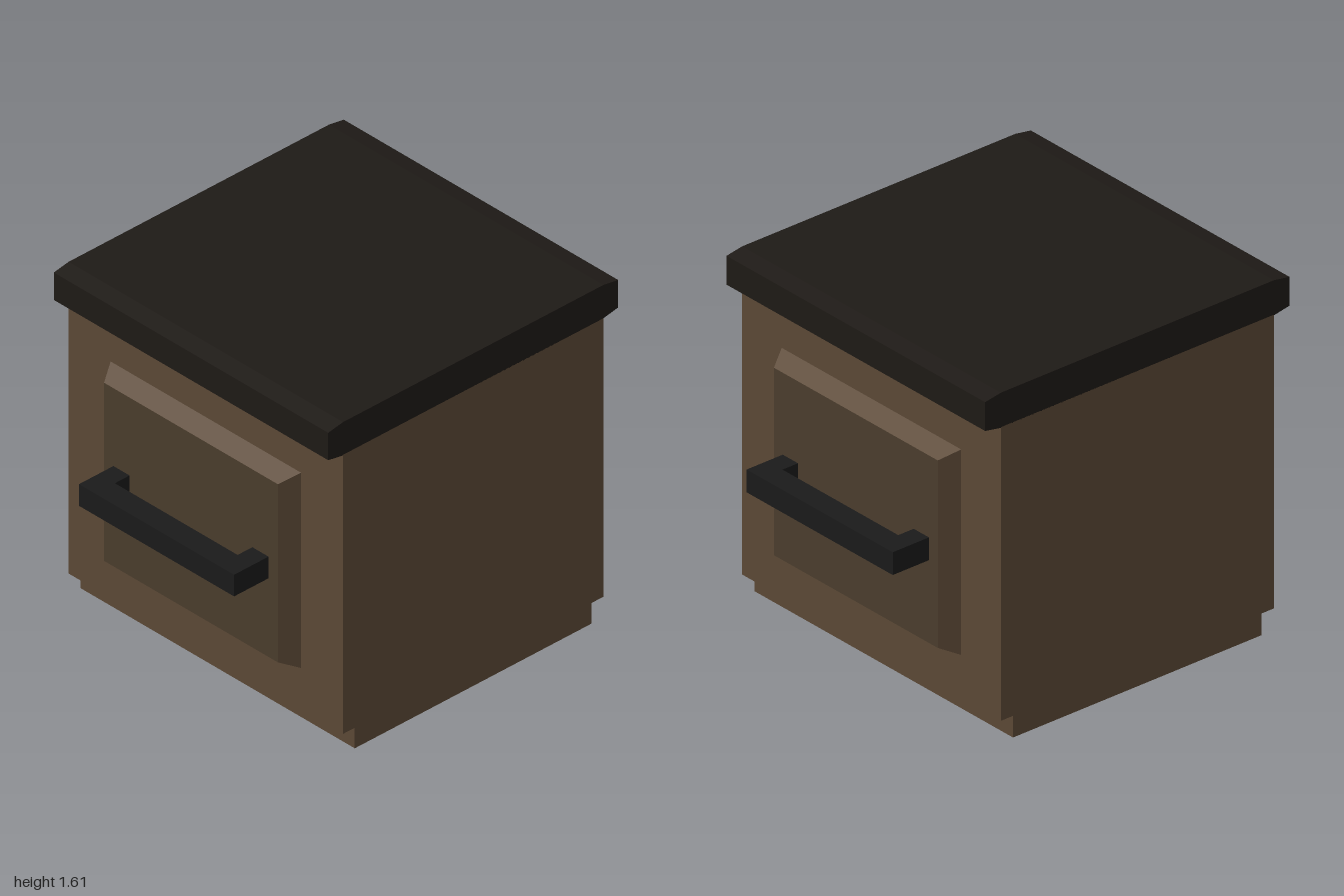
import * as THREE from 'three';

const paint = (color) => new THREE.MeshStandardMaterial({ color });

// Closed outline, extruded and centred along its depth
function extrude(points, depth) {
  const shape = new THREE.Shape(points.map(([a, b]) => new THREE.Vector2(a, b)));
  return new THREE.ExtrudeGeometry(shape, { depth, bevelEnabled: false }).translate(0, 0, -depth / 2);
}

// Half outline (z, y) mirrored in z and extruded across the full width
function acrossWidth(half, width) {
  const mirrored = half.map(([z, y]) => [-z, y]).reverse();
  return extrude([...half, ...mirrored], width).rotateY(Math.PI / 2);
}

// Box whose front face is inset to give sloping borders
function raisedPanel(w, h, d, inset) {
  const geo = new THREE.BoxGeometry(w, h, d);
  const p = geo.attributes.position;
  for (let i = 0; i < p.count; i++) {
    if (p.getZ(i) > 0) {
      p.setX(i, p.getX(i) - Math.sign(p.getX(i)) * inset);
      p.setY(i, p.getY(i) - Math.sign(p.getY(i)) * inset * 0.85);
    }
  }
  geo.computeVertexNormals();
  return geo;
}

export function createModel() {
  const model = new THREE.Group();
  const wood = paint(0x5c4936);
  const panelWood = paint(0x4b3d2d);
  const topMat = paint(0x1e1a16);
  const handleMat = paint(0x1a1a1a);
  const WIDTH = 1.61;

  const add = (parent, name, geo, mat) => {
    const mesh = new THREE.Mesh(geo, mat);
    mesh.name = name;
    parent.add(mesh);
    return mesh;
  };

  // Cabinet with the toe recess at front and back
  add(model, 'cabinet', acrossWidth(
    [[0.66, 0], [0.66, 0.1], [0.725, 0.1], [0.725, 1.455]], WIDTH), wood);

  // Worktop with tapered overhangs
  add(model, 'worktop', acrossWidth(
    [[0.725, 1.452], [0.808, 1.467], [0.808, 1.6], [0.725, 1.614]], WIDTH), topMat);

  // Identical panel and handle on front and back
  for (const side of ['front', 'back']) {
    const face = new THREE.Group();
    face.name = side + 'Face';

    const panel = add(face, side + 'Panel', raisedPanel(1.12, 0.95, 0.085, 0.05),
      [wood, wood, wood, wood, panelWood, wood]);
    panel.position.set(0, 0.775, 0.7655);

    // U-shaped pull, outlined in plan and extruded upwards
    const pull = extrude([
      [-0.455, 0.8], [-0.36, 0.8], [-0.36, 0.89], [0.36, 0.89],
      [0.36, 0.8], [0.455, 0.8], [0.455, 1], [-0.455, 1],
    ], 0.105).rotateX(Math.PI / 2);
    add(face, side + 'Handle', pull, handleMat).position.y = 0.777;

    if (side === 'back') face.rotation.y = Math.PI;
    model.add(face);
  }
  return model;
}
